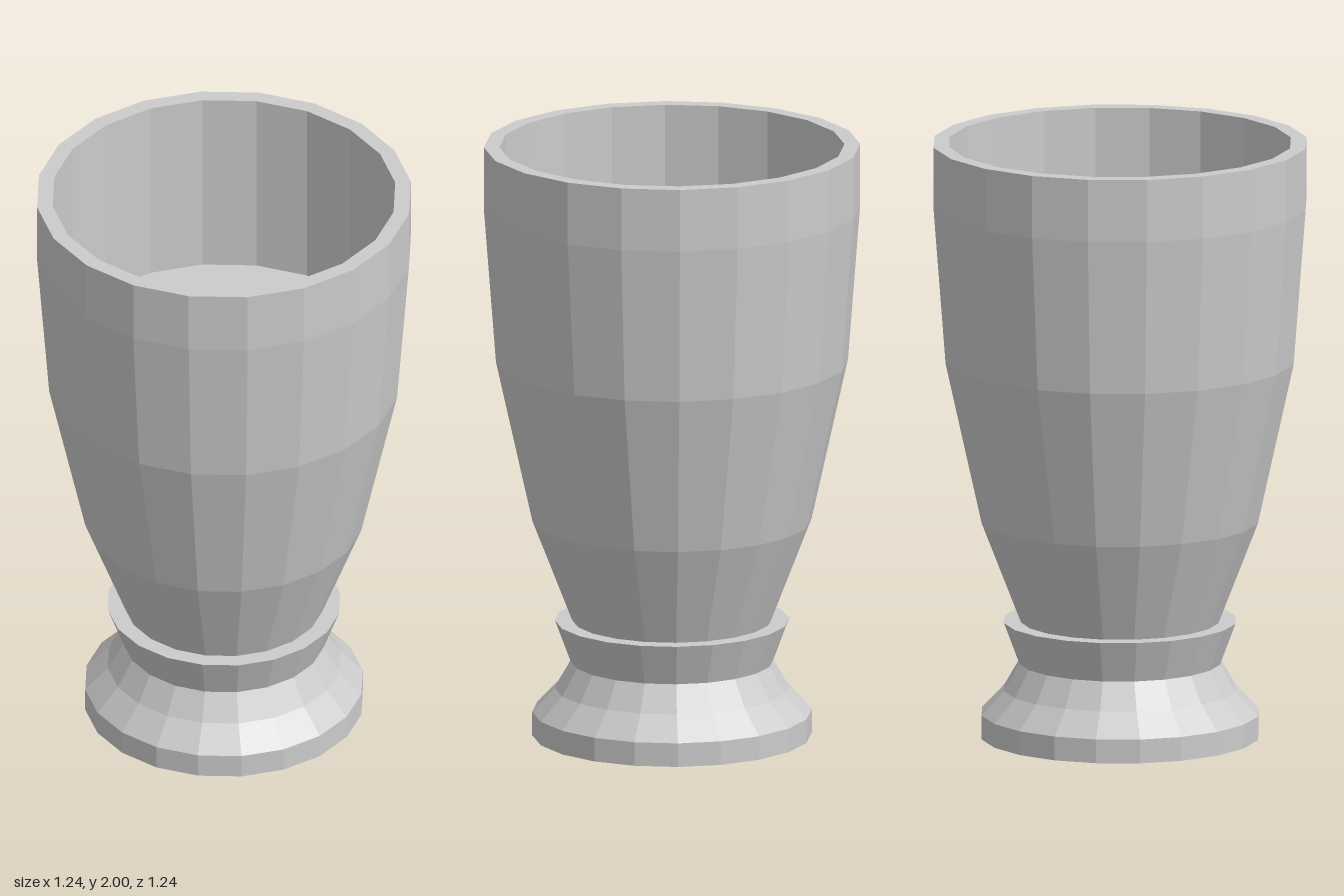
import * as THREE from 'three';

const SIDES = 20;

export function createModel() {
  const group = new THREE.Group();
  group.name = 'goblet';
  const material = new THREE.MeshStandardMaterial({ color: 0xcccccc, flatShading: true });

  // Turns a [radius, height] profile, listed so that its outer side faces out
  const turn = (name, profile) => {
    const points = profile.map(([r, y]) => new THREE.Vector2(r, y));
    const mesh = new THREE.Mesh(new THREE.LatheGeometry(points, SIDES), material);
    mesh.name = name;
    group.add(mesh);
  };

  // Foot: flat underside, short rim and a concave slope up to the neck
  turn('foot', [[0, 0], [0.462, 0], [0.462, 0.08], [0.387, 0.16], [0.335, 0.25]]);

  // Collar: flares outward, with a flat ledge around the cup
  turn('collar', [[0.335, 0.25], [0.387, 0.39], [0.33, 0.39]]);

  // Cup: widening wall and straight lip
  turn('cupWall', [[0.33, 0.39], [0.462, 0.73], [0.582, 1.27], [0.622, 1.79], [0.622, 2]]);

  // Rim, straight inner wall and flat inner floor
  turn('cupInside', [[0.622, 2], [0.57, 2], [0.57, 1.35], [0, 1.35]]);

  return group;
}
